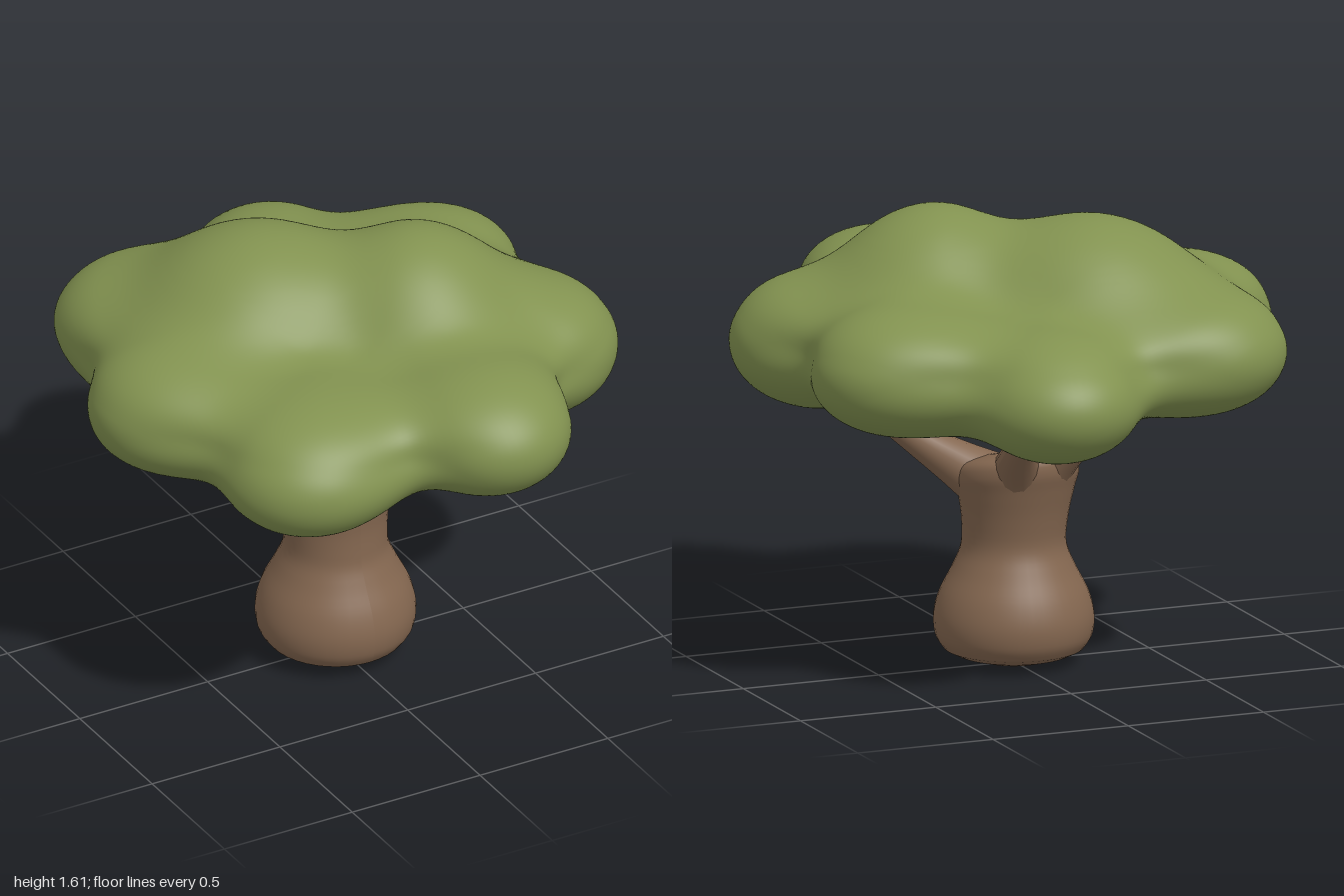
import * as THREE from 'three';
import { mergeVertices } from 'three/addons/utils/BufferGeometryUtils.js';

const LEAF = new THREE.MeshStandardMaterial({ color: 0x829250 });
const BARK = new THREE.MeshStandardMaterial({ color: 0x83664f });

// Foliage lobes: centre x, y, z, then radii x, y, z
const LOBES = [
  [0, 1.17, 0, 0.66, 0.17, 0.66],           // core
  [0.14, 1.08, -0.7, 0.28, 0.205, 0.3],     // rim lobes
  [0.56, 1.14, -0.32, 0.3, 0.21, 0.28],
  [0.63, 1.135, 0.25, 0.295, 0.225, 0.28],
  [0.2, 1.17, 0.7, 0.28, 0.21, 0.3],
  [-0.4, 1.09, 0.53, 0.3, 0.21, 0.29],
  [-0.64, 1.145, 0, 0.29, 0.215, 0.28],
  [-0.46, 1.16, -0.51, 0.31, 0.21, 0.3],
  [0.25, 1.33, 0.09, 0.3, 0.275, 0.3],      // crown domes
  [-0.2, 1.32, -0.19, 0.32, 0.265, 0.32],
];

// Approximate distance to an ellipsoid
function ellipsoid(p, [cx, cy, cz, rx, ry, rz]) {
  const x = (p.x - cx) / rx, y = (p.y - cy) / ry, z = (p.z - cz) / rz;
  const k0 = Math.hypot(x, y, z);
  return k0 * (k0 - 1) / Math.max(Math.hypot(x / rx, y / ry, z / rz), 1e-6);
}

// Smoothly blended distance to all lobes
function foliageDistance(p) {
  const k = 0.23;
  return LOBES.reduce((d, lobe) => {
    const e = ellipsoid(p, lobe);
    const h = Math.max(k - Math.abs(d - e), 0) / k;
    return Math.min(d, e) - h * h * k * 0.25;
  }, 10);
}

// A sphere shrunk inwards onto the blended lobes
function foliageGeometry() {
  let geo = new THREE.IcosahedronGeometry(1, 38);
  geo.deleteAttribute('uv');
  geo.deleteAttribute('normal');
  geo = mergeVertices(geo, 1e-5);
  const pos = geo.attributes.position;
  const centre = new THREE.Vector3(0, 1.18, 0);
  const dir = new THREE.Vector3(), p = new THREE.Vector3();
  for (let i = 0; i < pos.count; i++) {
    dir.fromBufferAttribute(pos, i);
    dir.y *= 0.5;
    dir.normalize();
    let t = 1.4;
    for (let s = 0; s < 80; s++) {
      const d = foliageDistance(p.copy(centre).addScaledVector(dir, t));
      if (d < 0.0005) break;
      t -= d * 0.6;
    }
    pos.setXYZ(i, p.x, p.y, p.z);
  }
  geo.computeVertexNormals();
  return geo;
}

// Bulbous trunk whose top leans back and rises towards the rear
function trunkGeometry() {
  const outline = new THREE.SplineCurve([
    [0.24, 0.055], [0.268, 0.1], [0.275, 0.17], [0.255, 0.25], [0.21, 0.34], [0.18, 0.42],
    [0.184, 0.52], [0.2, 0.61], [0.212, 0.67], [0.19, 0.72], [0.1, 0.745],
  ].map(([x, y]) => new THREE.Vector2(x, y))).getPoints(44);
  const profile = [
    new THREE.Vector2(0, 0), new THREE.Vector2(0.12, 0.012), new THREE.Vector2(0.2, 0.035),
    ...outline, new THREE.Vector2(0, 0.75),
  ];
  const geo = new THREE.LatheGeometry(profile, 40);
  const pos = geo.attributes.position;
  for (let i = 0; i < pos.count; i++) {
    const lean = Math.max(pos.getY(i) - 0.45, 0);
    pos.setY(i, pos.getY(i) - pos.getZ(i) * lean * 0.8);
    pos.setZ(i, pos.getZ(i) - lean * 0.13);
  }
  geo.computeVertexNormals();
  return geo;
}

// Tube that narrows quickly from its flared root to a slim tip
function branchGeometry(points, root, tip) {
  const curve = new THREE.CatmullRomCurve3(points.map((q) => new THREE.Vector3(...q)));
  const rings = 24, sides = 16;
  const geo = new THREE.TubeGeometry(curve, rings, 1, sides);
  const pos = geo.attributes.position;
  const c = new THREE.Vector3(), v = new THREE.Vector3();
  for (let i = 0; i <= rings; i++) {
    const t = i / rings;
    const r = tip + (root - tip) * (1 - t) ** 2;
    curve.getPointAt(t, c);
    for (let j = 0; j <= sides; j++) {
      const n = i * (sides + 1) + j;
      v.fromBufferAttribute(pos, n).sub(c).multiplyScalar(r).add(c);
      pos.setXYZ(n, v.x, v.y, v.z);
    }
  }
  geo.computeVertexNormals();
  return geo;
}

export function createModel() {
  const tree = new THREE.Group();
  tree.name = 'tree';
  const add = (name, geo, mat) => {
    const mesh = new THREE.Mesh(geo, mat);
    mesh.name = name;
    tree.add(mesh);
  };

  add('foliage', foliageGeometry(), LEAF);
  add('trunk', trunkGeometry(), BARK);

  // Each branch: path from inside the trunk into the foliage
  const branches = {
    frontLeftBranch: [[0.05, 0.61, 0], [0.17, 0.69, 0.05], [0.31, 0.785, 0.11], [0.6, 1.0, 0.19]],
    frontRightBranch: [[-0.05, 0.61, 0], [-0.17, 0.69, 0.05], [-0.29, 0.775, 0.11], [-0.58, 1.0, 0.19]],
    backLeftBranch: [[0.02, 0.62, -0.06], [0.06, 0.72, -0.17], [0.1, 0.81, -0.29], [0.15, 1.0, -0.54]],
    backRightBranch: [[-0.03, 0.62, -0.06], [-0.08, 0.72, -0.15], [-0.13, 0.81, -0.24], [-0.2, 1.01, -0.42]],
  };
  for (const [name, path] of Object.entries(branches)) {
    add(name, branchGeometry(path, 0.12, 0.032), BARK);
  }
  return tree;
}
